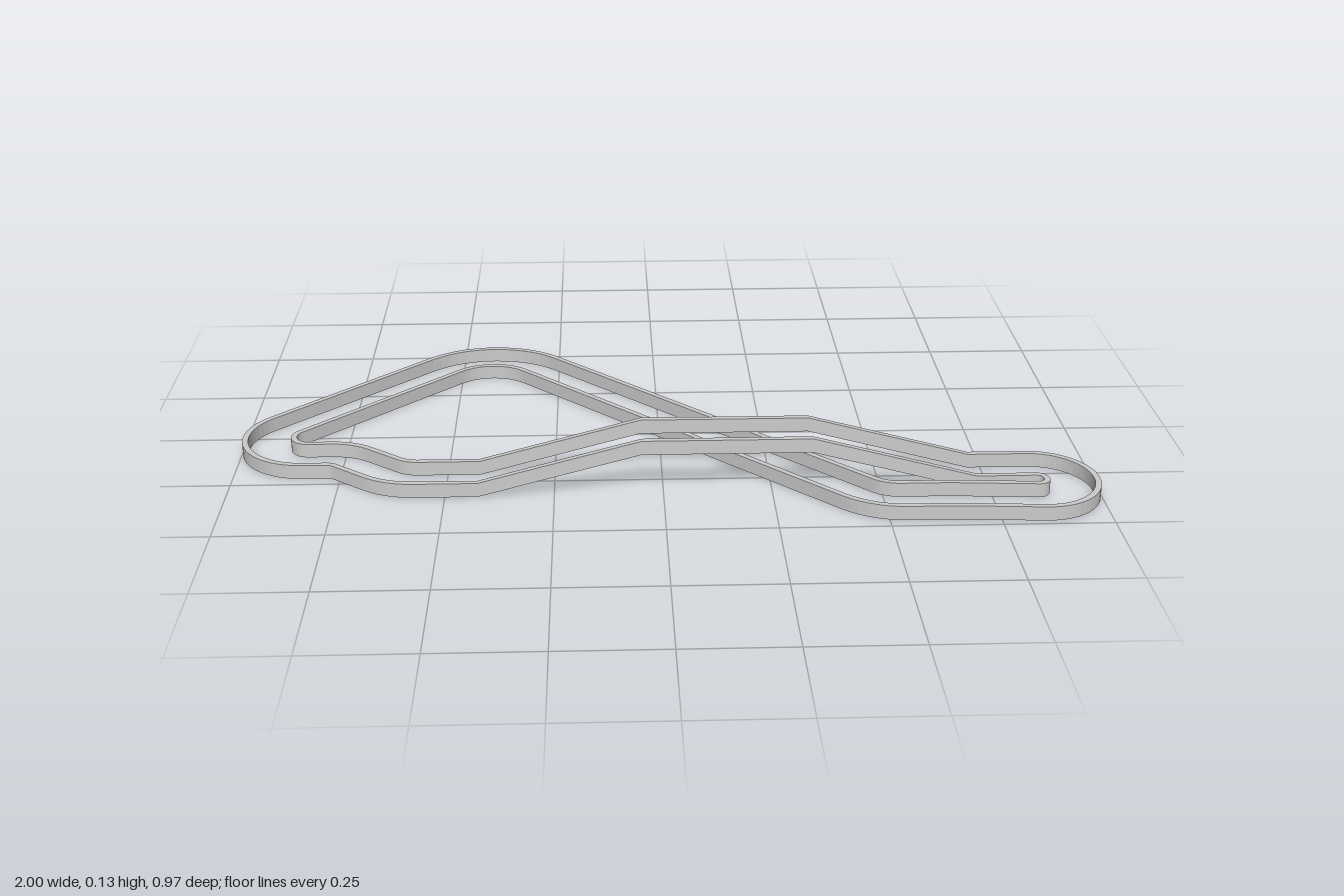
import * as THREE from 'three';

// Track centreline corners: x, z, fillet radius, height of the rail's foot
const CORNERS = [
  [-0.75, 0.155, 0.09, 0],
  [-0.615, 0.2615, 0.13, 0],
  [-0.425, 0.2615, 0, 0],     // bridge ramp starts
  [-0.05, 0.2615, 0, 0.1],
  [0.34, 0.2615, 0, 0.1],
  [0.72, 0.2615, 0, 0],       // bridge ramp ends
  [0.936, 0.2615, 0.079, 0],  // hairpin
  [0.936, 0.426, 0.079, 0],
  [0.65, 0.408, 0.3, 0],
  [0.483, 0.408, 0.14, 0],
  [-0.4215, -0.4965, 0.176, 0],
  [-1.0725, 0.155, 0.097, 0],
];
const HALF_TRACK = 0.0575, HALF_RAIL = 0.007, RAIL_HEIGHT = 0.034;

// Rounds each corner with an arc; returns points with their sideways direction
function centreline() {
  const path = [];
  const count = CORNERS.length;
  CORNERS.forEach(([x, z, radius, y], i) => {
    const [px, pz] = CORNERS[(i + count - 1) % count];
    const [nx, nz] = CORNERS[(i + 1) % count];
    const h0 = Math.atan2(z - pz, x - px);
    const h1 = Math.atan2(nz - z, nx - x);
    const turn = Math.atan2(Math.sin(h1 - h0), Math.cos(h1 - h0));
    const r = radius * Math.sign(turn);
    const t = radius * Math.tan(Math.abs(turn) / 2);
    const cx = x - Math.cos(h0) * t - Math.sin(h0) * r;
    const cz = z - Math.sin(h0) * t + Math.cos(h0) * r;
    const steps = radius ? Math.ceil(Math.abs(turn) / 0.12) : 0;
    for (let k = 0; k <= steps; k++) {
      const h = h0 + (steps ? turn * k / steps : 0);
      const sx = -Math.sin(h), sz = Math.cos(h);
      path.push({ x: cx - sx * r, z: cz - sz * r, y, sx, sz });
    }
  });
  return path;
}

// Sweeps a rectangular section along the closed path at a sideways offset
function railGeometry(path, offset) {
  const section = [
    [offset - HALF_RAIL, 0], [offset + HALF_RAIL, 0],
    [offset + HALF_RAIL, RAIL_HEIGHT], [offset - HALF_RAIL, RAIL_HEIGHT],
  ];
  const positions = [];
  const rings = path.map((p) => section.map(([s, h]) => [p.x + p.sx * s, p.y + h, p.z + p.sz * s]));
  rings.forEach((ring, i) => {
    const next = rings[(i + 1) % rings.length];
    for (let j = 0; j < 4; j++) {
      const k = (j + 1) % 4;
      positions.push(...ring[j], ...next[j], ...next[k], ...ring[j], ...next[k], ...ring[k]);
    }
  });
  const geometry = new THREE.BufferGeometry();
  geometry.setAttribute('position', new THREE.Float32BufferAttribute(positions, 3));
  geometry.computeVertexNormals();
  return geometry;
}

export function createModel() {
  const group = new THREE.Group();
  group.name = 'figureEightTrack';
  const material = new THREE.MeshStandardMaterial({ color: 0xcccccc, flatShading: true });
  const path = centreline();
  // The two edge rails cross over themselves at the bridge
  for (const [name, side] of [['leftRail', -1], ['rightRail', 1]]) {
    const rail = new THREE.Mesh(railGeometry(path, side * HALF_TRACK), material);
    rail.name = name;
    group.add(rail);
  }
  return group;
}
